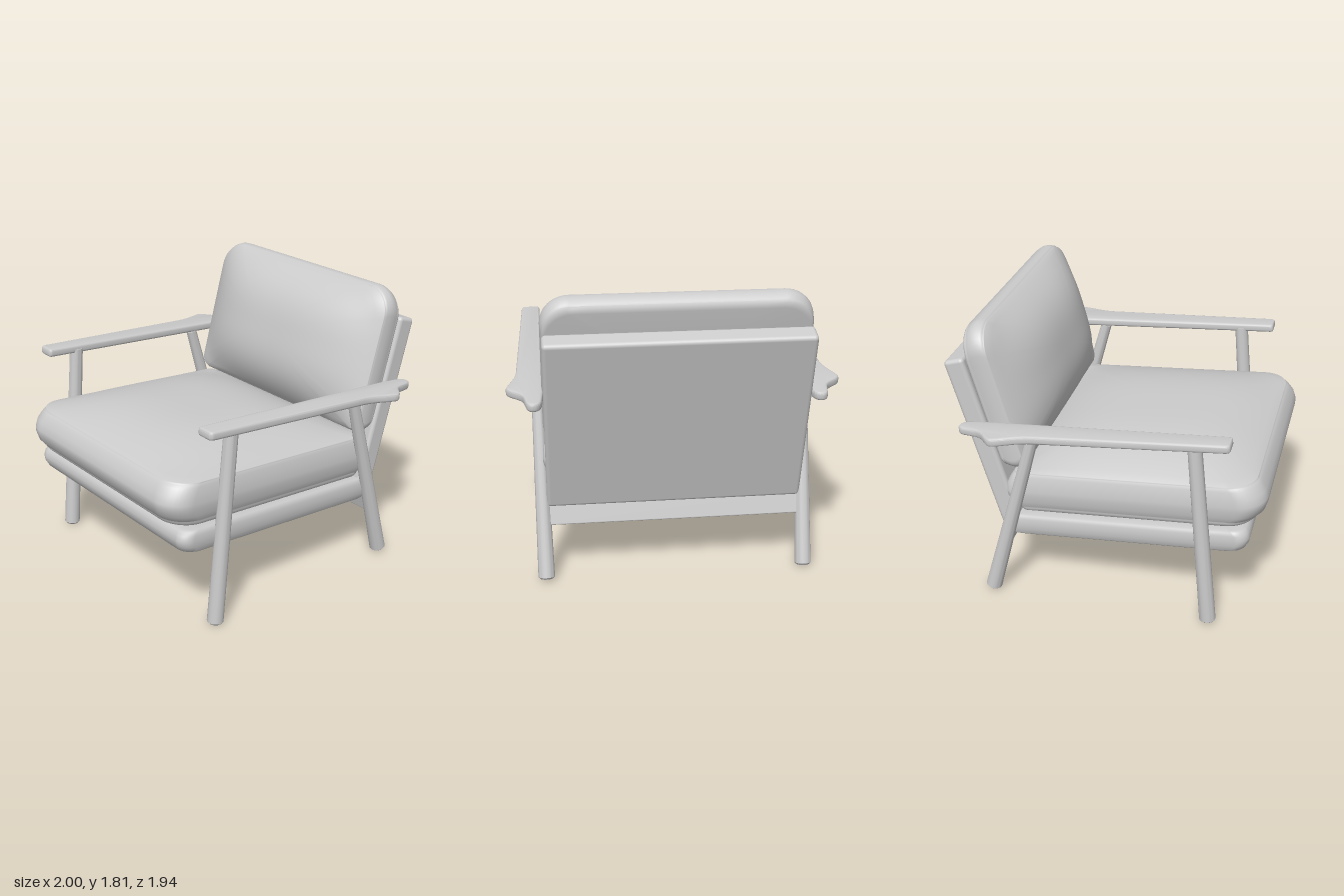
import * as THREE from 'three';
import { toCreasedNormals } from 'three/addons/utils/BufferGeometryUtils.js';
import { RoundedBoxGeometry } from 'three/addons/geometries/RoundedBoxGeometry.js';

const material = new THREE.MeshStandardMaterial({ color: 0xcccccc, roughness: 0.8 });

function part(name, geometry, x = 0, y = 0, z = 0, tilt = 0) {
  const mesh = new THREE.Mesh(geometry, material);
  mesh.name = name;
  mesh.position.set(x, y, z);
  mesh.rotation.x = tilt;
  return mesh;
}

// Rounded rectangle in x/z with separate corner radii at +z and -z.
function outline(hw, hd, rFront, rBack) {
  const pts = [], edge = 12, arc = 10;
  const corners = [
    [1, 1, rFront, 0], [-1, 1, rFront, 1], [-1, -1, rBack, 2], [1, -1, rBack, 3],
  ];
  corners.forEach(([sx, sz, r, q]) => {
    const first = pts.length;
    for (let i = 0; i <= arc; i++) {
      const a = (q + i / arc) * Math.PI / 2;
      pts.push([sx * (hw - r) + r * Math.cos(a), sz * (hd - r) + r * Math.sin(a)]);
    }
    // subdivide the straight edge to the next corner
    const [nx, nz, nr] = corners[(q + 1) % 4];
    const a = (q + 1) * Math.PI / 2;
    const end = [nx * (hw - nr) + nr * Math.cos(a), nz * (hd - nr) + nr * Math.sin(a)];
    const start = pts[first + arc];
    for (let i = 1; i < edge; i++) {
      const t = i / edge;
      pts.push([start[0] + (end[0] - start[0]) * t, start[1] + (end[1] - start[1]) * t]);
    }
  });
  return pts;
}

// Upholstered pad: side profile of [inset, height] pairs, closed by a soft dome.
function pad({ hw, hd, rFront, rBack, profile, dome, power = 3 }) {
  const loops = [];
  const ring = (inset) => outline(hw - inset * 0.4, hd - inset, rFront, rBack);
  const base = ring(profile[0][0]);
  [0.001, 0.5].forEach((s) => loops.push(base.map(([x, z]) => [x * s, profile[0][1], z * s])));
  profile.forEach(([inset, y]) => loops.push(ring(inset).map(([x, z]) => [x, y, z])));
  const [lastInset, lastY] = profile[profile.length - 1];
  const rim = ring(lastInset), w = hw - lastInset * 0.4, d = hd - lastInset, steps = 16;
  for (let k = 1; k <= steps; k++) {
    const s = Math.max(0.001, 1 - k / steps);
    loops.push(rim.map(([x, z]) => {
      const u = Math.abs(x * s / w) ** power, v = Math.abs(z * s / d) ** power;
      return [x * s, lastY + dome * (1 - u) * (1 - v), z * s];
    }));
  }
  const n = rim.length, index = [];
  for (let j = 0; j < loops.length - 1; j++) {
    for (let i = 0; i < n; i++) {
      const a = j * n + i, b = j * n + (i + 1) % n;
      index.push(a, a + n, b, b, a + n, b + n);
    }
  }
  const geometry = new THREE.BufferGeometry();
  geometry.setAttribute('position', new THREE.Float32BufferAttribute(loops.flat(2), 3));
  geometry.setIndex(index);
  geometry.computeVertexNormals();
  return geometry;
}

// Round tapered leg between two points, with a chamfered foot.
function leg(name, from, to, rFoot, rTop) {
  const a = new THREE.Vector3(...from), dir = new THREE.Vector3(...to).sub(a);
  const L = dir.length();
  const pts = [[0, 0], [rFoot - 0.012, 0], [rFoot, 0.012], [rTop, L], [0, L]];
  const lathe = new THREE.LatheGeometry(pts.map((p) => new THREE.Vector2(...p)), 28);
  const mesh = part(name, toCreasedNormals(lathe, 0.6), ...from);
  mesh.quaternion.setFromUnitVectors(new THREE.Vector3(0, 1, 0), dir.normalize());
  return mesh;
}

// Flat armrest, widening into a pointed paddle near the back.
function armrest(side) {
  const s = new THREE.Shape();
  s.moveTo(side * 0.78, 0.74);
  s.quadraticCurveTo(side * 0.78, 0.765, side * 0.8, 0.765);
  s.lineTo(side * 0.875, 0.765);
  s.quadraticCurveTo(side * 0.9, 0.765, side * 0.902, 0.73);
  s.lineTo(side * 0.94, -0.4);
  s.bezierCurveTo(side * 0.945, -0.5, side * 0.985, -0.56, side * 0.998, -0.63);
  s.bezierCurveTo(side * 1.0, -0.68, side * 0.91, -0.7, side * 0.895, -0.77);
  s.lineTo(side * 0.88, -0.85);
  s.quadraticCurveTo(side * 0.87, -0.885, side * 0.84, -0.885);
  s.quadraticCurveTo(side * 0.8, -0.885, side * 0.79, -0.83);
  s.lineTo(side * 0.78, -0.7);
  s.closePath();
  const g = new THREE.ExtrudeGeometry(s, {
    depth: 0.024, bevelEnabled: true, bevelThickness: 0.014, bevelSize: 0.014,
    bevelOffset: -0.014, bevelSegments: 3, curveSegments: 10,
  });
  g.rotateX(Math.PI / 2);
  return toCreasedNormals(g, 0.6);
}

export function createModel() {
  const chair = new THREE.Group();
  chair.name = 'armchair';
  const seatTilt = -0.07, backTilt = 0.27;

  // Upholstered seat base
  chair.add(part('seatBase', pad({
    hw: 0.795, hd: 0.765, rFront: 0.08, rBack: 0.03, dome: 0.01,
    profile: [[0.07, 0], [0.06, 0.002], [0.03, 0.015], [0.008, 0.05], [0, 0.085],
      [0.008, 0.12], [0.025, 0.14], [0.05, 0.15]],
  }), 0, 0.475, 0.125, seatTilt));

  // Loose seat cushion
  chair.add(part('seatCushion', pad({
    hw: 0.797, hd: 0.805, rFront: 0.17, rBack: 0.05, dome: 0.13,
    profile: [[0.12, 0], [0.08, 0.01], [0.062, 0.03], [0.068, 0.036], [0.055, 0.042],
      [0.02, 0.08], [0.002, 0.13], [0, 0.16], [0.012, 0.21], [0.04, 0.255],
      [0.055, 0.272], [0.064, 0.276], [0.062, 0.282]],
  }), 0, 0.645, 0.175, seatTilt));

  // Loose back cushion, leaning on the back panel
  chair.add(part('backCushion', pad({
    hw: 0.79, hd: 0.47, rFront: 0.07, rBack: 0.17, dome: 0.185,
    profile: [[0.06, 0], [0.03, 0.01], [0.02, 0.022], [0.026, 0.028], [0.015, 0.034],
      [0.002, 0.07], [0, 0.1], [0.008, 0.13], [0.015, 0.14], [0.022, 0.144], [0.02, 0.15]],
  }), 0, 1.33, -0.765, Math.PI / 2 - backTilt));

  // Upholstered back panel and the rail below it
  chair.add(part('backPanel', new RoundedBoxGeometry(1.565, 1.18, 0.13, 4, 0.025),
    0, 1.03, -0.757, -0.28));
  chair.add(part('backRail', new RoundedBoxGeometry(1.58, 0.14, 0.05, 2, 0.008),
    0, 0.4, -0.64, 0.265));

  // Legs and armrests, mirrored
  for (const [label, s] of [['left', 1], ['right', -1]]) {
    chair.add(leg(label + 'FrontLeg', [s * 0.802, 0.005, 0.657], [s * 0.812, 1.28, 0.543], 0.051, 0.043));
    chair.add(leg(label + 'RearLeg', [s * 0.802, 0.013, -0.75], [s * 0.815, 1.19, -0.425], 0.051, 0.036));
    chair.add(part(label + 'Armrest', armrest(s), 0, 1.255, 0, -0.07));
  }
  return chair;
}
